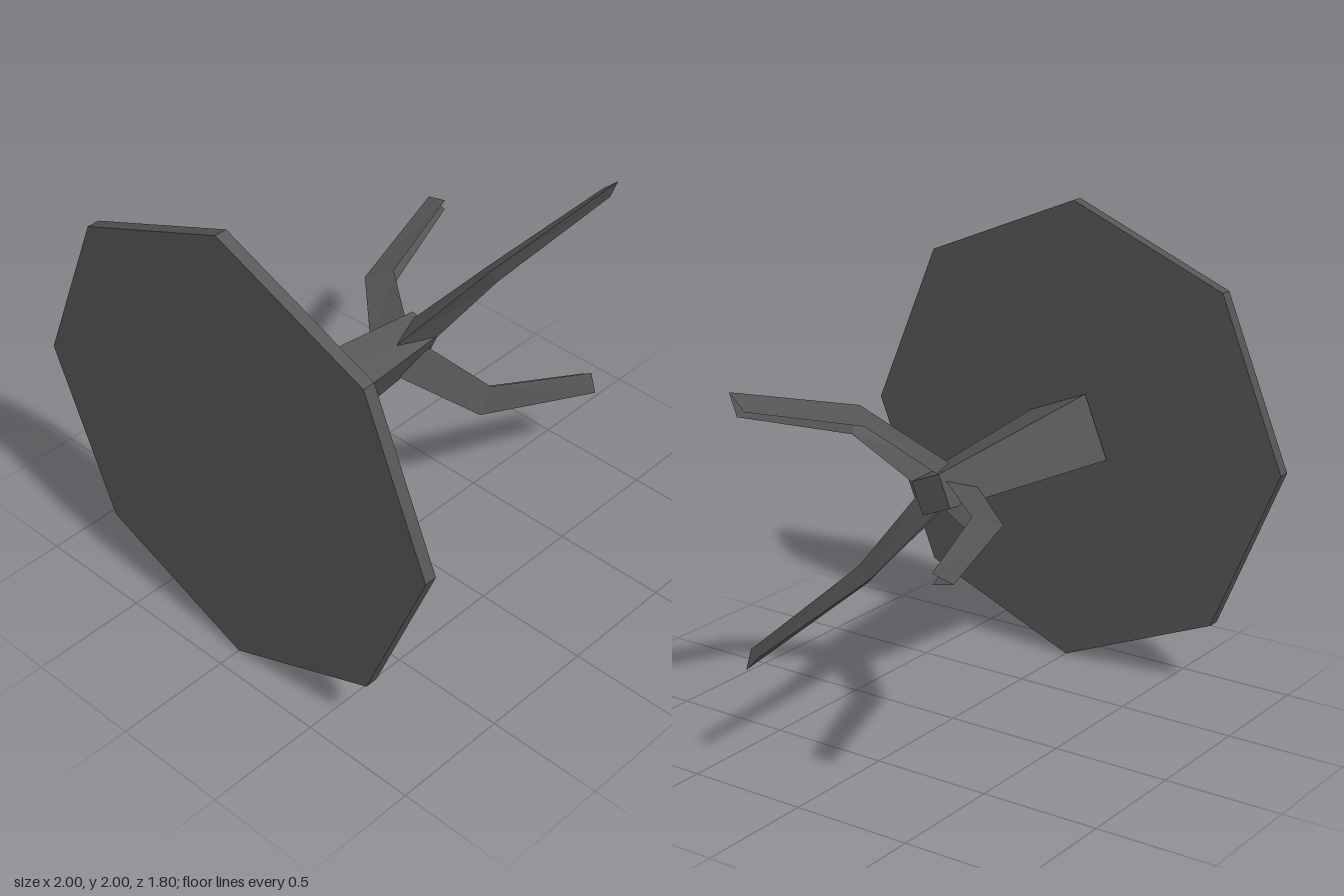
import * as THREE from 'three';

const darkGrey = new THREE.MeshStandardMaterial({ color: 0x545454, flatShading: true });
darkGrey.name = 'dark grey';
darkGrey.side = THREE.DoubleSide;

// Arm stations from root to tip: outer ridge [radius, z], then the two inner edges [radius, z, half width]
const stations = [
  { ridge: [0.09, 0.04], edge: [0.05, -0.12, 0.06] },
  { ridge: [0.43, -0.28], edge: [0.34, -0.357, 0.036] },
  { ridge: [0.643, -0.9], edge: [0.55, -0.9, 0.022] },
];

// Folded V-shaped strip, open towards the axis
function armGeometry() {
  const pos = [], index = [];
  for (const { ridge: [r, z], edge: [er, ez, h] } of stations) {
    pos.push(er, -h, ez, r, 0, z, er, h, ez);
  }
  for (let i = 0; i < stations.length - 1; i++) {
    for (let j = 0; j < 2; j++) {
      const a = i * 3 + j, b = a + 1, c = a + 3, d = a + 4;
      index.push(a, c, b, b, c, d);
    }
  }
  const indexed = new THREE.BufferGeometry();
  indexed.setAttribute('position', new THREE.Float32BufferAttribute(pos, 3));
  indexed.setIndex(index);
  const geo = indexed.toNonIndexed();
  geo.computeVertexNormals();
  return geo;
}

export function createModel() {
  const group = new THREE.Group();
  group.name = 'discWithThreeArms';
  const add = (name, geo) => {
    const mesh = new THREE.Mesh(geo, darkGrey);
    mesh.name = name;
    mesh.position.y = 1;
    group.add(mesh);
    return mesh;
  };

  // Octagonal front plate
  add('octagonalPlate', new THREE.CylinderGeometry(1, 1, 0.052, 8)
    .rotateX(Math.PI / 2).translate(0, 0, 0.874));

  // Tapered square shaft, slightly turned about its axis
  add('shaft', new THREE.CylinderGeometry(0.206, 0.1, 0.99, 4)
    .rotateX(Math.PI / 2).rotateZ(Math.PI / 8).translate(0, 0, 0.345));

  // Three bent arms spread around the back of the shaft
  const arm = armGeometry();
  [['upperArm', 55.5], ['sideArm', 180], ['lowerArm', -60]].forEach(([name, degrees]) => {
    add(name, arm).rotation.z = THREE.MathUtils.degToRad(degrees);
  });

  return group;
}
